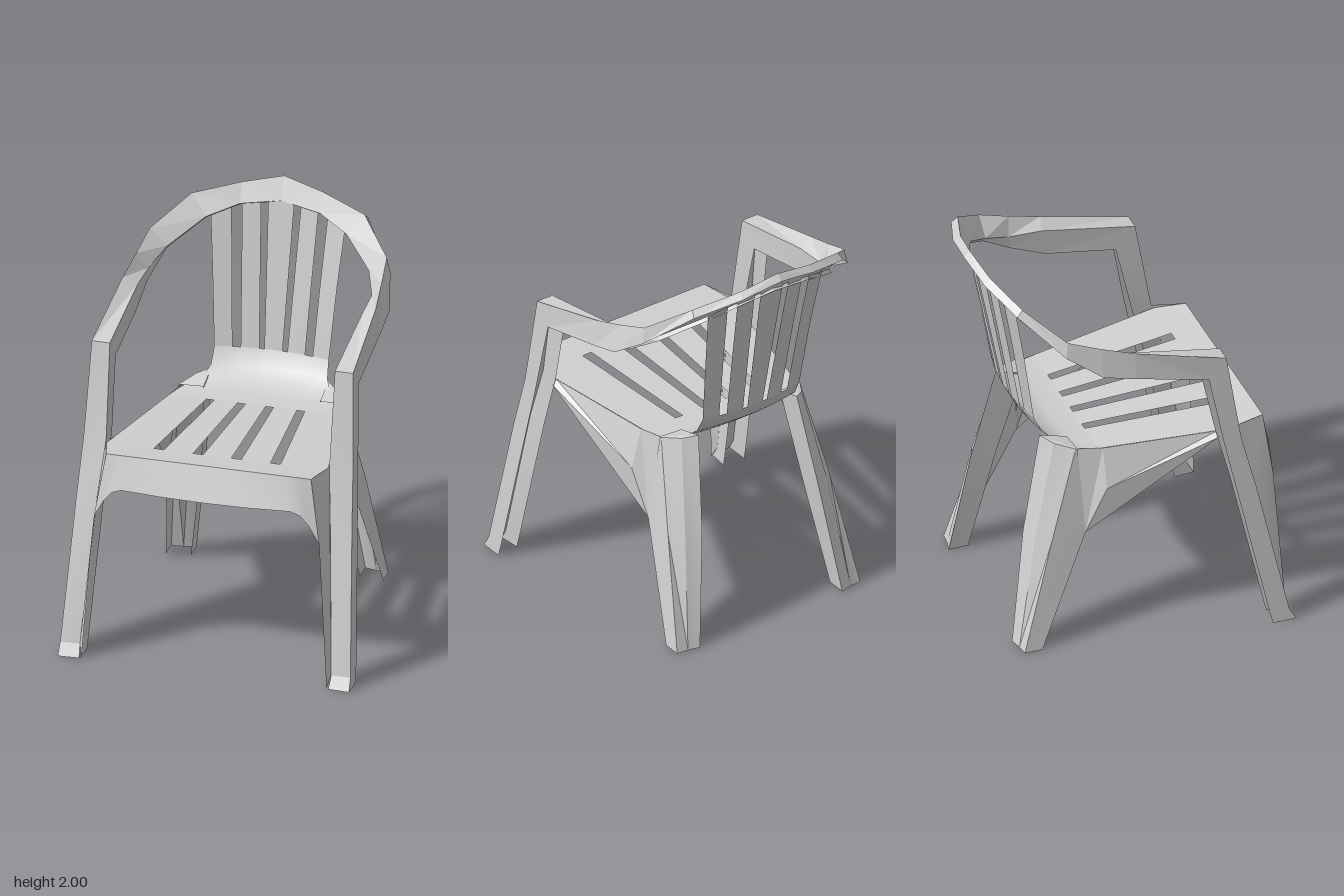
import * as THREE from 'three';
import { toCreasedNormals } from 'three/addons/utils/BufferGeometryUtils.js';

const plastic = new THREE.MeshStandardMaterial({ color: 0xd0d0d0, side: THREE.DoubleSide });
plastic.name = 'light grey plastic';

// Sheet through rows of [x, y, z] points; crease 0 gives flat facets
function sheet(name, rows, crease = 0) {
  const pos = [];
  for (let i = 0; i < rows.length - 1; i++) {
    for (let j = 0; j < rows[i].length - 1; j++) {
      const a = rows[i][j], b = rows[i][j + 1], c = rows[i + 1][j + 1], d = rows[i + 1][j];
      pos.push(...a, ...b, ...c, ...a, ...c, ...d);
    }
  }
  let geo = new THREE.BufferGeometry();
  geo.setAttribute('position', new THREE.Float32BufferAttribute(pos, 3));
  geo.computeVertexNormals();
  if (crease) geo = toCreasedNormals(geo, crease);
  const mesh = new THREE.Mesh(geo, plastic);
  mesh.name = name;
  return mesh;
}

// Fan-shaped cap over a convex ring of points
function cap(name, ring) {
  return sheet(name, [ring, ring.map(() => ring[0])]);
}

const flip = (rows) => rows.map((row) => row.map(([x, y, z]) => [-x, y, z]));

// Seat and backrest profile: z, y, bow, then half of the slat edges
const profile = [
  [0.62, 1.06, 0, [0.07, 0.12, 0.27, 0.32, 0.51]],
  [0.47, 1.045, 0, [0.07, 0.12, 0.265, 0.315, 0.55]],
  [-0.19, 1.01, 0, [0.05, 0.09, 0.205, 0.245, 0.43]],
  [-0.3, 1.01, 0.05, [0.05, 0.085, 0.19, 0.23, 0.4]],
  [-0.4, 1.03, 0.3, [0.047, 0.08, 0.18, 0.22, 0.32]],
  [-0.46, 1.08, 0.4, [0.045, 0.075, 0.17, 0.21, 0.29]],
  [-0.5, 1.16, 0.42, [0.045, 0.07, 0.16, 0.2, 0.285]],
  [-0.57, 1.53, 0.48, [0.055, 0.085, 0.175, 0.22, 0.31]],
  [-0.64, 1.9, 0.55, [0.065, 0.1, 0.19, 0.24, 0.335]],
];

function shellRow([z, y, bow, e], from, to) {
  const xs = [...[...e].reverse().map((v) => -v), ...e];
  return xs.slice(from, to).map((x) => {
    // the top edge falls away with the hoop
    const drop = y > 1.8 ? 0.7 * x * x : 0;
    return [x, y - drop, z + bow * x * x];
  });
}

function buildShell(group) {
  group.add(sheet('seatFrontEdge', profile.slice(0, 2).map((p) => shellRow(p, 0, 10)), 0.6));
  group.add(sheet('seatRearCurve', profile.slice(2, 7).map((p) => shellRow(p, 0, 10)), 0.9));
  for (let s = 0; s < 5; s++) {
    group.add(sheet('seatSlat', profile.slice(1, 3).map((p) => shellRow(p, 2 * s, 2 * s + 2))));
    group.add(sheet('backSlat', profile.slice(6).map((p) => shellRow(p, 2 * s, 2 * s + 2)), 0.6));
  }
}

// Curved front apron below the seat edge
function buildApron(group) {
  const half = [[0.56, 0.74, 0.655], [0.51, 0.83, 0.66], [0.47, 0.88, 0.665], [0.42, 0.9, 0.67], [0.2, 0.895, 0.68]];
  const bottom = [...flip([half])[0], [0, 0.895, 0.685], ...[...half].reverse()];
  const top = bottom.map(([x]) => [x * 0.91, 1.06, 0.62]);
  group.add(sheet('frontApron', [top, bottom], 0.6));
}

// Arm hoop: skirt bottom, outer top, inner edge, inner lip at each station
const hoop = [
  [[0.65, 1.43, 0.29], [0.65, 1.53, 0.38], [0.56, 1.53, 0.38], [0.56, 1.42, 0.28]],
  [[0.65, 1.52, -0.08], [0.63, 1.655, -0.08], [0.56, 1.62, -0.1], [0.565, 1.48, -0.08]],
  [[0.65, 1.57, -0.25], [0.61, 1.71, -0.25], [0.555, 1.63, -0.27], [0.56, 1.56, -0.26]],
  [[0.605, 1.69, -0.42], [0.59, 1.77, -0.41], [0.5, 1.69, -0.41], [0.51, 1.67, -0.42]],
  [[0.44, 1.87, -0.61], [0.43, 1.9, -0.58], [0.35, 1.8, -0.545], [0.35, 1.79, -0.565]],
  [[0.21, 1.93, -0.69], [0.2, 1.955, -0.655], [0.2, 1.86, -0.61], [0.2, 1.85, -0.625]],
  [[0, 1.97, -0.715], [0, 2, -0.685], [0, 1.89, -0.635], [0, 1.88, -0.65]],
];

// Front leg channel with a toe: inner back, inner front, outer front, outer back
const frontLeg = [
  [[0.56, 1.42, 0.28], [0.56, 1.53, 0.38], [0.65, 1.53, 0.38], [0.65, 1.43, 0.29]],
  [[0.555, 1.06, 0.36], [0.555, 1.06, 0.46], [0.67, 1.06, 0.45], [0.67, 1.06, 0.36]],
  [[0.57, 0.78, 0.43], [0.58, 0.78, 0.53], [0.685, 0.78, 0.52], [0.685, 0.78, 0.42]],
  [[0.607, 0.06, 0.585], [0.625, 0.06, 0.67], [0.722, 0.06, 0.675], [0.722, 0.06, 0.575]],
  [[0.61, 0, 0.6], [0.62, 0, 0.705], [0.725, 0, 0.71], [0.725, 0, 0.59]],
];

// Web between the apron corner and the front leg, tapering to the foot
const legWeb = [
  [[0.51, 1.06, 0.62], [0.555, 1.06, 0.46]],
  [[0.56, 0.74, 0.655], [0.582, 0.74, 0.54]],
  [[0.61, 0, 0.7], [0.625, 0.06, 0.67]],
];

// Rear leg channel: outer front, outer ridge, back groove, inner back, inner front
const rearLeg = [
  [[0.41, 1.02, -0.29], [0.41, 1.02, -0.3], [0.355, 1.04, -0.39], [0.29, 1.06, -0.44], [0.29, 1.02, -0.3]],
  [[0.465, 0.57, -0.27], [0.475, 0.57, -0.445], [0.42, 0.57, -0.51], [0.345, 0.57, -0.545], [0.335, 0.57, -0.42]],
  [[0.54, 0, -0.52], [0.54, 0, -0.61], [0.48, 0, -0.615], [0.42, 0, -0.63], [0.42, 0, -0.53]],
];

// Side skirt between the legs, with its lower edge folded inwards
const skirt = [
  [[0.534, 1.04, 0.38], [0.434, 1.01, -0.17], [0.403, 1.015, -0.29]],
  [[0.56, 1.02, 0.38], [0.49, 0.81, -0.17], [0.465, 0.57, -0.27]],
  [[0.56, 1.02, 0.38], [0.512, 0.795, 0.055], [0.465, 0.57, -0.27]],
];

export function createModel() {
  const group = new THREE.Group();
  group.name = 'plasticArmchair';
  buildShell(group);
  buildApron(group);
  for (const side of [1, -1]) {
    const m = (rows) => (side > 0 ? rows : flip(rows));
    group.add(
      sheet('armHoop', m(hoop)),
      sheet('frontLeg', m(frontLeg), 0.3),
      sheet('frontLegWeb', m(legWeb), 0.5),
      sheet('rearLeg', m(rearLeg), 0.3),
      cap('rearLegTop', m(rearLeg)[0]),
      sheet('sideSkirt', m(skirt)),
    );
  }
  return group;
}
